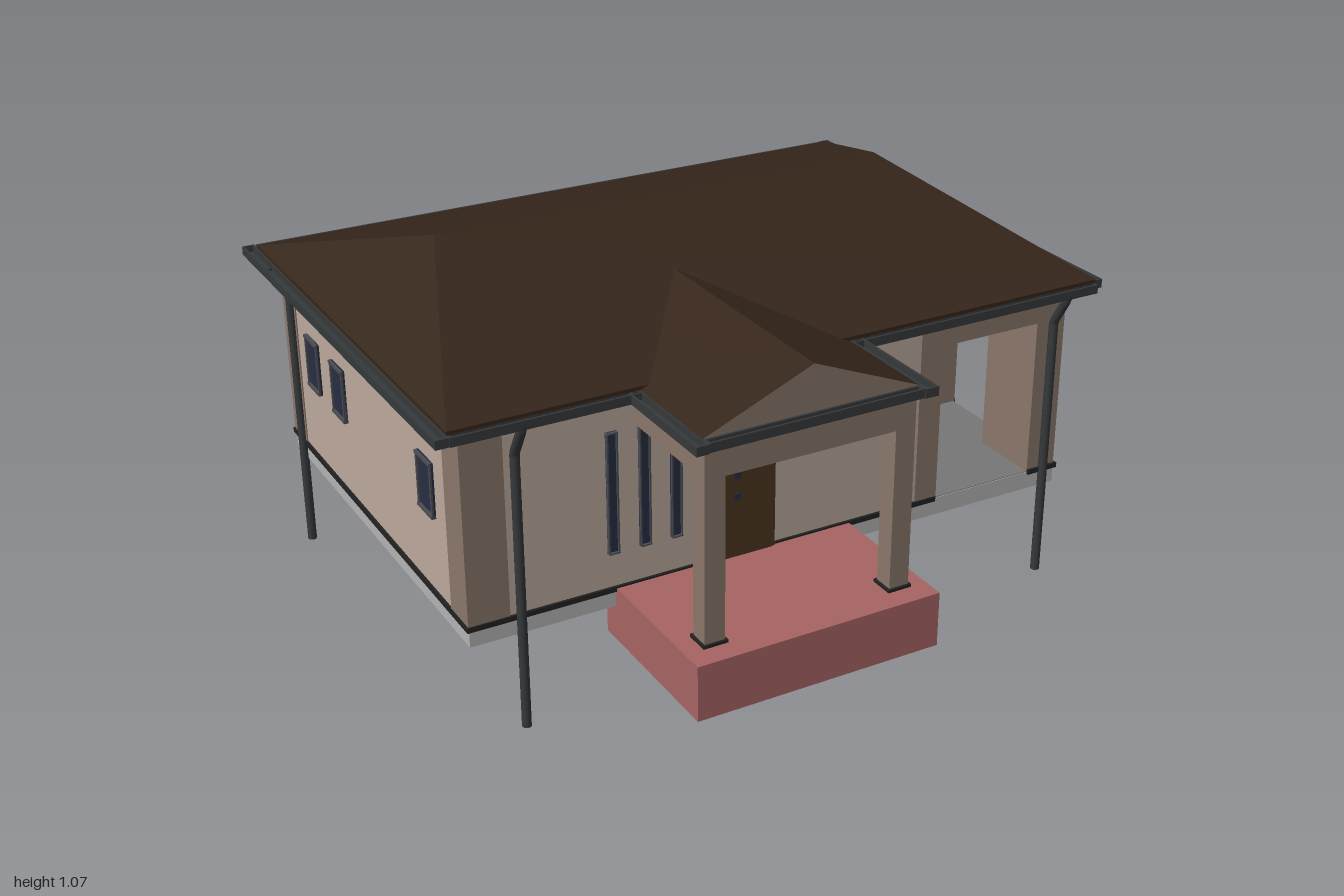
import * as THREE from 'three';
import { ConvexGeometry } from 'three/addons/geometries/ConvexGeometry.js';
import { RoundedBoxGeometry } from 'three/addons/geometries/RoundedBoxGeometry.js';

const mat = (color, side = THREE.FrontSide) => new THREE.MeshStandardMaterial({ color, side });
const M = {
  light: mat(0xbcaa9d), dark: mat(0x8a776a), roof: mat(0x35251a), gutter: mat(0x36393b),
  trim: mat(0x222222), slab: mat(0xb4b4b4), floor: mat(0x777777), under: mat(0x151515),
  red: mat(0xa86464, THREE.DoubleSide), door: mat(0x4a3620), glass: mat(0x272e43),
  frame: mat(0x4a4d52), grey: mat(0xcccccc), black: mat(0x383838),
};

export function createModel() {
  const root = new THREE.Group();
  const add = (name, geo, m, parent = root) => {
    const mesh = new THREE.Mesh(geo, m);
    mesh.name = name;
    parent.add(mesh);
    return mesh;
  };
  // Box given by its limits on each axis
  const box = (name, m, x0, x1, y0, y1, z0, z1, parent = root) => {
    const b = add(name, new THREE.BoxGeometry(x1 - x0, y1 - y0, z1 - z0), m, parent);
    b.position.set((x0 + x1) / 2, (y0 + y1) / 2, (z0 + z1) / 2);
    return b;
  };
  // Group placed on a wall: local z points out of the wall
  const onWall = (name, x, y, z, ry) => {
    const g = new THREE.Group();
    g.name = name;
    g.position.set(x, y, z);
    g.rotation.y = ry;
    root.add(g);
    return g;
  };
  const FRONT = 0, RIGHT = Math.PI / 2, BACK = Math.PI, LEFT = -Math.PI / 2;
  const X0 = -0.917, X1 = 0.83, Z0 = -0.787, Z1 = 0.45, F = 0.312, T = 0.845;

  // Open-bottomed base: edge panels around a thin floor
  const B = 0.262, w = 0.012;
  box('baseEdge', M.slab, X0, X1, B, F, Z1 - w, Z1);
  box('baseEdge', M.slab, X0, X1, B, F, Z0, Z0 + w);
  box('baseEdge', M.slab, X0, X0 + w, B, F, Z0 + w, Z1 - w);
  box('baseEdge', M.slab, X1 - w, X1, B, F, Z0 + w, Z1 - w);
  box('underside', M.under, X0 + w, X1 - w, 0.304, F - 0.001, Z0 + w, Z1 - w);
  box('recessUnderside', M.black, 0.41, X1 - w, 0.302, 0.305, -0.02, Z1 - w);
  box('recessFloor', M.floor, 0.43, X1 - 0.002, F - 0.004, F + 0.002, -0.02, Z1 - 0.002);

  // Dark trim along the foot of the walls
  const e = 0.007, ty0 = 0.306, ty1 = 0.32;
  box('baseTrim', M.trim, X0 - e, X1 + e, ty0, ty1, Z0 - e, Z0);
  box('baseTrim', M.trim, X0 - e, X0, ty0, ty1, Z0, Z1);
  box('baseTrim', M.trim, X1, X1 + e, ty0, ty1, Z0, -0.02);
  box('baseTrim', M.trim, X1, X1 + e, ty0, ty1, 0.245, Z1);
  box('baseTrim', M.trim, X0 - e, 0.43, ty0, ty1, Z1, Z1 + e);
  box('baseTrim', M.trim, 0.74, X1 + e, ty0, ty1, Z1, Z1 + e);

  // Walls around the recessed corner entrance
  box('mainWalls', M.light, X0, X1, F, T, Z0, -0.02);
  box('frontWalls', M.light, X0, 0.43, F, T, -0.02, Z1);
  box('recessHeader', M.dark, 0.43, X1, 0.755, T, -0.02, Z1);
  box('cornerPillar', M.dark, 0.74, X1, F, 0.755, 0.245, Z1);

  // Darker wall sections
  const p = 0.003;
  box('accentFrontLeft', M.dark, X0 - p, -0.81, F, T, Z1 - 0.1, Z1 + p);
  box('accentFrontRight', M.dark, 0.365, 0.43 + p, F, T, -0.02, Z1 + p);
  box('accentRecess', M.dark, 0.43, X1 + p, F, T, -0.16, -0.02 + p);
  for (const [a, b] of [[0.73, X1 + p], [X0 - p, -0.81]])
    box('accentBack', M.dark, a, b, F, T, Z0 - p, Z0 + 0.1);

  // Main hip roof with soffit
  const pts = [];
  for (const y of [0.86, 0.872])
    for (const x of [-0.965, 0.88]) for (const z of [-0.83, 0.503]) pts.push(new THREE.Vector3(x, y, z));
  pts.push(new THREE.Vector3(-0.705, 1.073, -0.165), new THREE.Vector3(0.615, 1.073, -0.165));
  add('hipRoof', new ConvexGeometry(pts), M.roof);
  box('soffit', M.light, -0.96, 0.875, 0.842, 0.862, -0.825, 0.498);

  // Porch gable roof
  const tri = new THREE.Shape([[-0.475, 0.862], [0.11, 0.862], [-0.183, 0.983]].map(q => new THREE.Vector2(...q)));
  const gable = add('porchRoof', new THREE.ExtrudeGeometry(tri, { depth: 0.67, bevelEnabled: false }), [M.dark, M.roof]);
  gable.position.z = 0.13;

  // Open gutters along the main and porch eaves: floor and four rims
  const gutter = (x0, x1, z0, z1) => {
    const t = 0.006, y0 = 0.838, y1 = 0.862;
    box('gutterFloor', M.gutter, x0, x1, y0, y0 + t, z0, z1);
    for (const x of [x0, x1 - t]) box('gutterRim', M.gutter, x, x + t, y0, y1, z0, z1);
    for (const z of [z0, z1 - t]) box('gutterRim', M.gutter, x0, x1, y0, y1, z, z + t);
  };
  gutter(-0.96, 0.88, -0.862, -0.828);
  gutter(-0.998, -0.963, -0.865, 0.515);
  gutter(0.878, 0.914, -0.865, 0.49);
  gutter(-0.963, -0.475, 0.498, 0.518);
  gutter(0.11, 0.878, 0.498, 0.518);
  gutter(-0.507, -0.473, 0.5, 0.83);
  gutter(0.11, 0.147, 0.5, 0.83);
  gutter(-0.473, 0.11, 0.8, 0.826);

  // Downspouts bending from the gutter to the wall
  for (const [x, z, dx, dz] of [[-0.783, 0.459, 0, 1], [0.787, 0.459, 0, 1], [0.273, -0.793, 0, -1], [-0.925, -0.708, -1, 0]]) {
    const path = new THREE.CurvePath();
    const v = (o, y) => new THREE.Vector3(x + dx * o, y, z + dz * o);
    path.add(new THREE.LineCurve3(v(0.05, 0.85), v(0.045, 0.83)));
    path.add(new THREE.LineCurve3(v(0.045, 0.83), v(0, 0.755)));
    path.add(new THREE.LineCurve3(v(0, 0.755), v(0, 0)));
    add('downspout', new THREE.TubeGeometry(path, 60, 0.0125, 10), M.gutter);
  }

  // Porch: hollow red base, posts and beams
  const [px0, px1, pz0, pz1, py] = [-0.525, 0.155, 0.40, 0.865, 0.165];
  box('porchFloor', M.red, px0, px1, 0.308, 0.315, Z1, pz1);
  box('porchFront', M.red, px0, px1, py, 0.31, pz1 - 0.006, pz1);
  box('porchSide', M.red, px0, px0 + 0.006, py, 0.31, pz0, pz1);
  box('porchSide', M.red, px1 - 0.006, px1, py, 0.31, pz0, pz1);
  for (const x of [-0.47, 0.05]) {
    box('porchPost', M.dark, x, x + 0.055, 0.22, 0.76, 0.745, 0.8);
    box('postFoot', M.trim, x - 0.006, x + 0.061, 0.314, 0.323, 0.739, 0.806);
    box('porchSideBeam', M.dark, x, x + 0.055, 0.755, 0.86, Z1, 0.8);
  }
  box('porchFrontBeam', M.dark, -0.415, 0.05, 0.755, 0.86, 0.745, 0.8);
  box('porchCeiling', M.light, -0.415, 0.05, 0.835, 0.858, Z1, 0.745);

  // Doors
  const door = (name, x, z, wd) => {
    const g = onWall(name, x, F, z, FRONT);
    box('doorFrame', M.door, -wd / 2, wd / 2, 0, 0.371, 0, 0.012, g);
    box('doorLeaf', M.door, -wd / 2 + 0.012, wd / 2 - 0.012, 0.005, 0.359, 0.012, 0.017, g);
    box('handle', M.grey, -wd / 2 + 0.022, -wd / 2 + 0.045, 0.187, 0.194, 0.017, 0.03, g);
    return g;
  };
  const mainDoor = door('frontDoor', -0.19, Z1, 0.23);
  for (const y of [0.177, 0.237, 0.297]) box('doorLight', M.glass, -0.009, 0.009, y - 0.009, y + 0.009, 0.015, 0.02, mainDoor);
  door('recessDoor', 0.572, -0.017, 0.235);

  // Windows: frame bars around one or more panes
  const windowUnit = (name, x, y, z, ry, wd, h, panes, t = 0.008) => {
    const g = onWall(name, x, y, z, ry);
    box('glass', M.glass, -wd / 2, wd / 2, -h / 2, h / 2, 0, 0.005, g);
    for (const s of [-1, 1]) {
      const yc = s * (h - t) / 2;
      box('rail', M.frame, -wd / 2, wd / 2, yc - t / 2, yc + t / 2, 0, 0.012, g);
    }
    for (let i = 0; i <= panes; i++) {
      const xc = -wd / 2 + t / 2 + i * (wd - t) / panes;
      box('stile', M.frame, xc - t / 2, xc + t / 2, -h / 2, h / 2, 0, 0.01, g);
    }
    return g;
  };
  for (const x of [-0.53, -0.442, -0.355]) windowUnit('slitWindow', x, 0.58, Z1, FRONT, 0.03, 0.33, 1, 0.004);
  windowUnit('sideWindow', X1, 0.6, -0.385, RIGHT, 0.21, 0.2, 2);
  windowUnit('slidingDoor', 0.51, 0.502, Z0, BACK, 0.325, 0.364, 2);
  windowUnit('backWindow', 0.125, 0.578, Z0, BACK, 0.225, 0.155, 2);
  const shuttered = windowUnit('slidingDoor', -0.22, 0.502, Z0, BACK, 0.325, 0.364, 2);
  box('shutterBox', M.dark, -0.172, 0.172, 0.18, 0.218, 0, 0.03, shuttered);
  windowUnit('backWindow', -0.645, 0.578, Z0, BACK, 0.225, 0.155, 2);
  for (const z of [-0.56, -0.365, 0.235]) windowUnit('smallWindow', X0, 0.607, z, LEFT, 0.092, 0.15, 1);

  // Vent hoods on the back wall
  for (const x of [0.75, -0.515]) {
    const g = onWall('ventHood', x, 0.762, Z0, BACK);
    box('hood', M.black, -0.025, 0.025, -0.015, 0.015, 0, 0.03, g);
    box('hoodPlate', M.black, -0.032, 0.032, 0.012, 0.02, 0, 0.035, g);
  }

  // Outdoor air conditioner on wall brackets
  const ac = onWall('airConditioner', X1, 0.26, -0.66, RIGHT);
  const housing = add('housing', new RoundedBoxGeometry(0.208, 0.158, 0.095, 3, 0.012), M.grey, ac);
  housing.position.set(0, 0.097, 0.07);
  const fan = new THREE.Group();
  fan.name = 'fan';
  fan.position.set(-0.025, 0.095, 0.117);
  ac.add(fan);
  add('fanOpening', new THREE.CylinderGeometry(0.064, 0.064, 0.006, 32), M.black, fan).rotation.x = Math.PI / 2;
  for (const r of [0.022, 0.032, 0.043, 0.054, 0.066])
    add('grilleRing', new THREE.TorusGeometry(r, 0.003, 6, 32), M.grey, fan).position.z = 0.006;
  for (let i = 0; i < 16; i++) {
    const a = i * Math.PI / 8;
    const bar = add('grilleBar', new THREE.BoxGeometry(0.066, 0.003, 0.003), M.grey, fan);
    bar.position.set(Math.cos(a) * 0.033, Math.sin(a) * 0.033, 0.006);
    bar.rotation.z = a;
  }
  add('fanHub', new THREE.CylinderGeometry(0.016, 0.016, 0.016, 20), M.grey, fan).rotation.x = Math.PI / 2;
  for (const y of [0.04, 0.065]) box('valve', M.grey, 0.06, 0.09, y, y + 0.012, 0.115, 0.125, ac);
  for (const x of [-0.083, 0.083]) {
    box('bracketArm', M.grey, x - 0.006, x + 0.006, 0.004, 0.016, 0, 0.165, ac);
    box('bracketPost', M.grey, x - 0.006, x + 0.006, 0.004, 0.14, 0, 0.01, ac);
  }
  return root;
}
